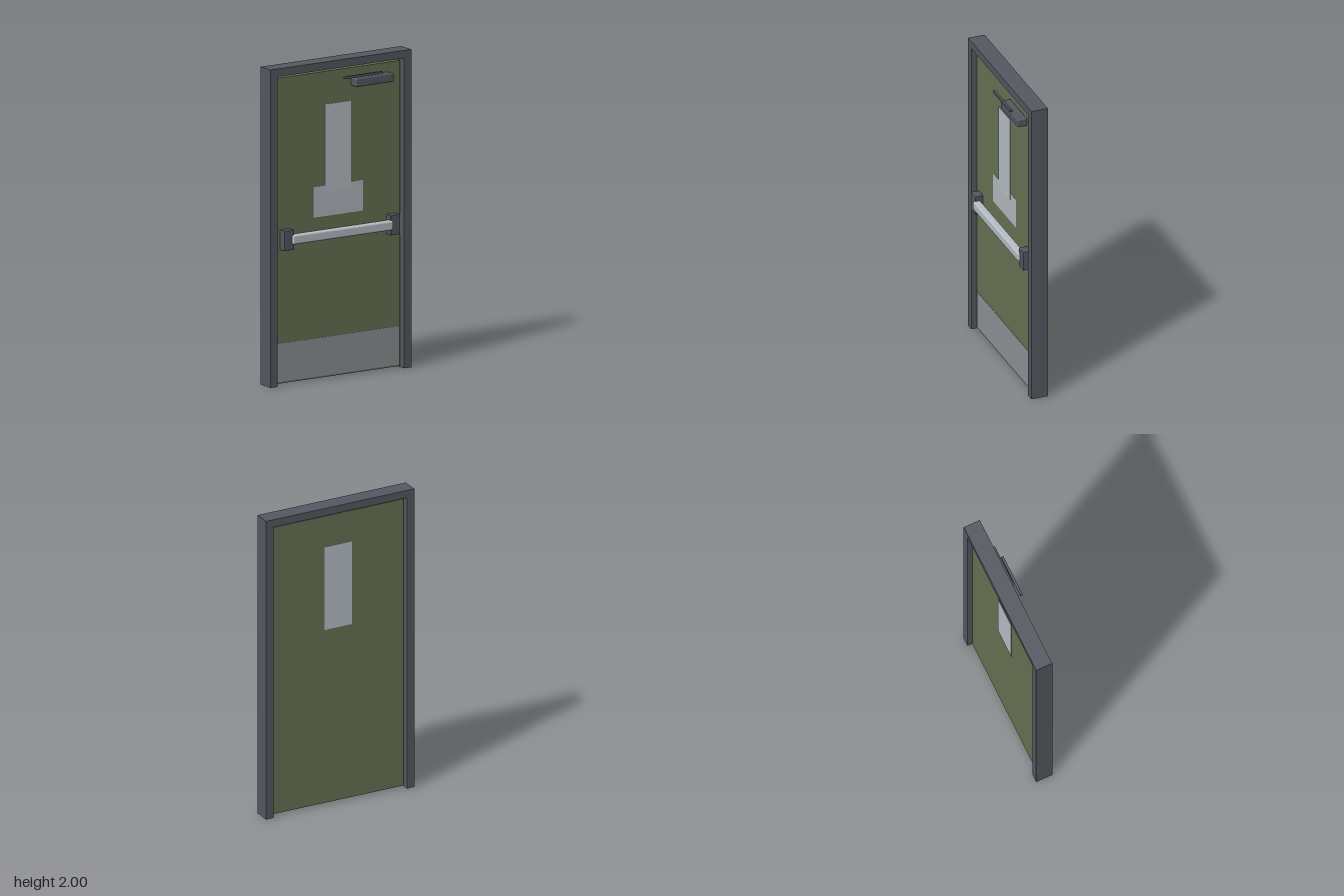
import * as THREE from 'three';
import { RoundedBoxGeometry } from 'three/addons/geometries/RoundedBoxGeometry.js';

const mat = (name, color) => {
  const m = new THREE.MeshStandardMaterial({ color });
  m.name = name;
  return m;
};

export function createModel() {
  const group = new THREE.Group();
  const steel = mat('dark frame steel', 0x555861);
  const green = mat('olive door paint', 0x677153);
  const glass = mat('pale window glass', 0xb6bfc6);
  const sign = mat('light plate', 0xb4bac0);
  const kick = mat('grey kick plate', 0x8f9197);
  const bright = mat('bright bar metal', 0xb6bec4);

  // Box given by its limits along each axis; a radius rounds the edges
  const box = (name, material, [x0, x1], [y0, y1], [z0, z1], radius = 0) => {
    const size = [x1 - x0, y1 - y0, z1 - z0];
    const geometry = radius
      ? new RoundedBoxGeometry(...size, 3, radius)
      : new THREE.BoxGeometry(...size);
    const mesh = new THREE.Mesh(geometry, material);
    mesh.name = name;
    mesh.position.set((x0 + x1) / 2, (y0 + y1) / 2, (z0 + z1) / 2);
    group.add(mesh);
  };

  const back = -0.045, front = -0.002; // door faces

  // Frame: header over two jambs
  box('frameHeader', steel, [-0.518, 0.518], [1.95, 2], [-0.077, 0.032]);
  box('rightJamb', steel, [-0.518, -0.466], [0, 1.95], [-0.077, 0.032]);
  box('leftJamb', steel, [0.466, 0.518], [0, 1.95], [-0.077, 0.032]);

  // Door leaf with its flush plates and a window showing on both sides
  box('doorLeaf', green, [-0.459, 0.459], [0.01, 1.932], [back, front]);
  box('window', glass, [-0.097, 0.093], [1.17, 1.725], [back - 0.002, front + 0.004]);
  box('signPlate', sign, [-0.186, 0.184], [1.022, 1.215], [front, front + 0.002]);
  box('kickPlate', kick, [-0.449, 0.447], [0.02, 0.262], [front, front + 0.002]);

  // Push bar between two end housings
  box('pushBar', bright, [-0.37, 0.37], [0.886, 0.946], [0.014, 0.062], 0.012);
  for (const side of [-1, 1]) {
    const xs = [side * 0.355, side * 0.427].sort((a, b) => a - b);
    box('barHousing', steel, xs, [0.852, 0.978], [front, 0.049], 0.004);
  }

  // Door closer and its arm
  box('closerBody', steel, [0.092, 0.37], [1.82, 1.873], [front, 0.063], 0.008);
  box('closerArm', steel, [0, 0.277], [1.885, 1.9], [0.061, 0.077]);

  return group;
}
